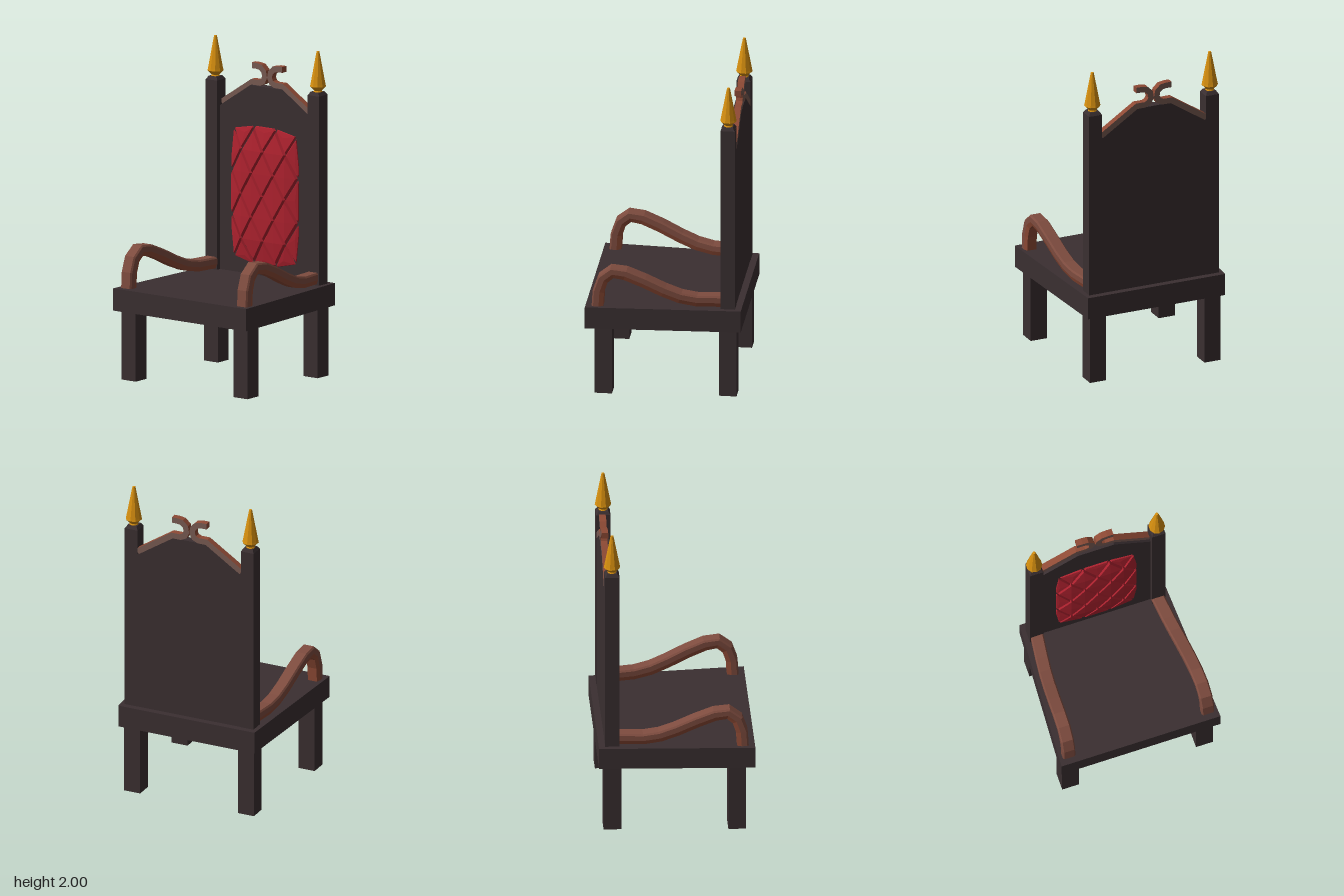
import * as THREE from 'three';

const mat = (name, color) => {
  const m = new THREE.MeshStandardMaterial({ color });
  m.name = name;
  return m;
};

// Flat-faced geometry from a list of triangle corners
function facets(points) {
  const g = new THREE.BufferGeometry().setFromPoints(points);
  g.computeVertexNormals();
  return g;
}

function flat(geometry) {
  const g = geometry.toNonIndexed();
  g.computeVertexNormals();
  return g;
}

function extrude(points, depth) {
  const shape = new THREE.Shape(points.map(([x, y]) => new THREE.Vector2(x, y)));
  return new THREE.ExtrudeGeometry(shape, { depth, bevelEnabled: false });
}

// Outline of a strip of even width along a polyline
function ribbon(path, half) {
  const p = path.map(([x, y]) => new THREE.Vector2(x, y));
  const left = [], right = [];
  p.forEach((c, i) => {
    const d0 = p[Math.max(i, 1)].clone().sub(p[Math.max(i, 1) - 1]).normalize();
    const j = Math.min(i, p.length - 2);
    const d1 = p[j + 1].clone().sub(p[j]).normalize();
    const t = d0.clone().add(d1).normalize();
    const w = half / t.dot(d1);
    left.push([c.x - t.y * w, c.y + t.x * w]);
    right.unshift([c.x + t.y * w, c.y - t.x * w]);
  });
  return [...left, ...right];
}

// Clip a polygon to a convex counter-clockwise outline
function clip(poly, outline) {
  outline.forEach((a, i) => {
    const b = outline[(i + 1) % outline.length];
    const side = (q) => (b[0] - a[0]) * (q[1] - a[1]) - (b[1] - a[1]) * (q[0] - a[0]);
    const out = [];
    poly.forEach((p, k) => {
      const q = poly[(k + 1) % poly.length], sp = side(p), sq = side(q);
      if (sp >= 0) out.push(p);
      if (sp * sq < 0) {
        const t = sp / (sp - sq);
        out.push([p[0] + (q[0] - p[0]) * t, p[1] + (q[1] - p[1]) * t]);
      }
    });
    poly = out;
  });
  return poly;
}

// Quilted pad: one raised, bevelled diamond per cell on a bulging surface
function quiltGeometry() {
  const cy = 1.058, dx = 0.083, dy = 0.137, shrink = 0.87;
  const outline = [[0.08, 0.635], [0.235, 0.67], [0.255, 0.85], [0.255, 1.27], [0.235, 1.45], [0.08, 1.48],
    [-0.08, 1.48], [-0.235, 1.45], [-0.255, 1.27], [-0.255, 0.85], [-0.235, 0.67], [-0.08, 0.635]];
  const top = ([x, y]) => Math.max(-0.37,
    -0.338 - 0.028 * (x / 0.25) ** 4 - 0.028 * ((y - cy) / 0.42) ** 4);
  const v = (p, drop) => new THREE.Vector3(p[0], p[1], top(p) - drop);
  const tris = [];
  for (let i = -4; i <= 4; i++) {
    for (let j = -4; j <= 4; j++) {
      if ((i + j) % 2 === 0) continue;
      const cell = [[1, 0], [0, 1], [-1, 0], [0, -1]]
        .map(([a, b]) => [(i + a * shrink) * dx, cy + (j + b * shrink) * dy]);
      const poly = clip(cell, outline);
      if (poly.length < 3) continue;
      const c = [0, 1].map((k) => poly.reduce((s, p) => s + p[k], 0) / poly.length);
      const low = poly.map((p) => p.map((n, k) => c[k] + (n - c[k]) / shrink));
      poly.forEach((p, k) => {
        const n = (k + 1) % poly.length, q = poly[n];
        tris.push(v(c, 0), v(p, 0), v(q, 0));
        tris.push(v(p, 0), v(low[k], 0.015), v(low[n], 0.015));
        tris.push(v(p, 0), v(low[n], 0.015), v(q, 0));
      });
    }
  }
  return facets(tris);
}

// Arm: chamfered section swept along a bent path of [z, y, x]
function armGeometries(s) {
  const path = [[0.398, 0.56, 0.441], [0.392, 0.66, 0.441], [0.365, 0.74, 0.44], [0.31, 0.785, 0.438],
    [0.23, 0.775, 0.435], [0.12, 0.73, 0.43], [0, 0.672, 0.422], [-0.1, 0.632, 0.413],
    [-0.2, 0.612, 0.402], [-0.35, 0.61, 0.384]];
  const section = [[0.03, -0.035], [0.04, -0.008], [0.04, 0.025], [0.032, 0.035],
    [-0.032, 0.035], [-0.04, 0.025], [-0.04, -0.008], [-0.03, -0.035]];
  const rings = path.map(([z, y, x], i) => {
    const a = path[Math.max(i - 1, 0)], b = path[Math.min(i + 1, path.length - 1)];
    const tz = b[0] - a[0], ty = b[1] - a[1], l = Math.hypot(tz, ty);
    return section.map(([u, w]) => new THREE.Vector3(s * x + u, y - (tz / l) * w, z + (ty / l) * w));
  });
  const upper = [], lower = [];
  for (let i = 0; i < rings.length - 1; i++) {
    section.forEach((_, k) => {
      const n = (k + 1) % section.length, r = rings[i], q = rings[i + 1];
      const list = k === 0 || k >= 6 ? lower : upper;
      list.push(r[k], q[k], q[n], r[k], q[n], r[n]);
    });
  }
  return [facets(upper), facets(lower)];
}

export function createModel() {
  const model = new THREE.Group();
  model.name = 'throne';
  const dark = mat('darkWood', 0x3a2f31);
  const brown = mat('brownWood', 0x7e4c3f);
  const warm = mat('warmWood', 0x8e4a35);
  const dusty = mat('dustyWood', 0x785a52);
  const red = mat('redFabric', 0xb0222f);
  const gold = mat('gold', 0xd8900f);

  const add = (name, geometry, material, x = 0, y = 0, z = 0) => {
    const m = new THREE.Mesh(geometry, material);
    m.name = name;
    m.position.set(x, y, z);
    model.add(m);
    return m;
  };

  // Seat slab, wider at the front
  const seat = extrude([[-0.505, -0.47], [0.505, -0.47], [0.455, 0.47], [-0.455, 0.47]], 0.137);
  seat.rotateX(-Math.PI / 2);
  add('seat', seat, dark, 0, 0.43, 0);

  // Back panel with a raised, sloping top
  add('backPanel', extrude([[-0.347, 0.56], [0.347, 0.56], [0.347, 1.575], [0.115, 1.728],
    [-0.115, 1.728], [-0.347, 1.575]], 0.054), dark, 0, 0, -0.43);
  add('backCushion', quiltGeometry(), red);

  const finialProfile = [[0.03, 1.745], [0.024, 1.758], [0.032, 1.766], [0.05, 1.784],
    [0.047, 1.796], [0.009, 1.997], [0, 2]].map(([x, y]) => new THREE.Vector2(x, y));
  const finial = flat(new THREE.LatheGeometry(finialProfile, 10));
  const crestPath = [[0.347, 1.592], [0.115, 1.744], [0.06, 1.744], [0.032, 1.757], [0.019, 1.785],
    [0.025, 1.818], [0.05, 1.842], [0.08, 1.847], [0.116, 1.847]];

  for (const s of [1, -1]) {
    const side = s > 0 ? 'left' : 'right';

    // Legs
    const leg = new THREE.BoxGeometry(0.107, 0.44, 0.107);
    add(side + 'FrontLeg', leg, dark, s * 0.425 - 0.004, 0.22, 0.362);
    add(side + 'BackLeg', leg, dark, s * 0.38 - 0.004, 0.22, -0.388);

    // Back post with bevelled cap and finial
    add(side + 'Post', new THREE.BoxGeometry(0.085, 1.17, 0.087), dark, s * 0.388, 1.145, -0.388);
    const cap = new THREE.CylinderGeometry(0.03 * Math.SQRT2, 0.0425 * Math.SQRT2, 0.02, 4);
    cap.rotateY(Math.PI / 4);
    add(side + 'PostCap', flat(cap), dark, s * 0.388, 1.74, -0.388);
    add(side + 'Finial', finial, gold, s * 0.39, 0, -0.388);

    // Crest rail ending in a curl
    const crest = extrude(ribbon(crestPath.map(([x, y]) => [s * x, y]), 0.018), 0.04);
    add(side + 'Crest', crest, [dusty, warm], 0, 0, -0.431);

    // Curved arm
    const [upper, lower] = armGeometries(s);
    add(side + 'Arm', upper, brown);
    add(side + 'ArmUnderside', lower, warm);
  }
  return model;
}
